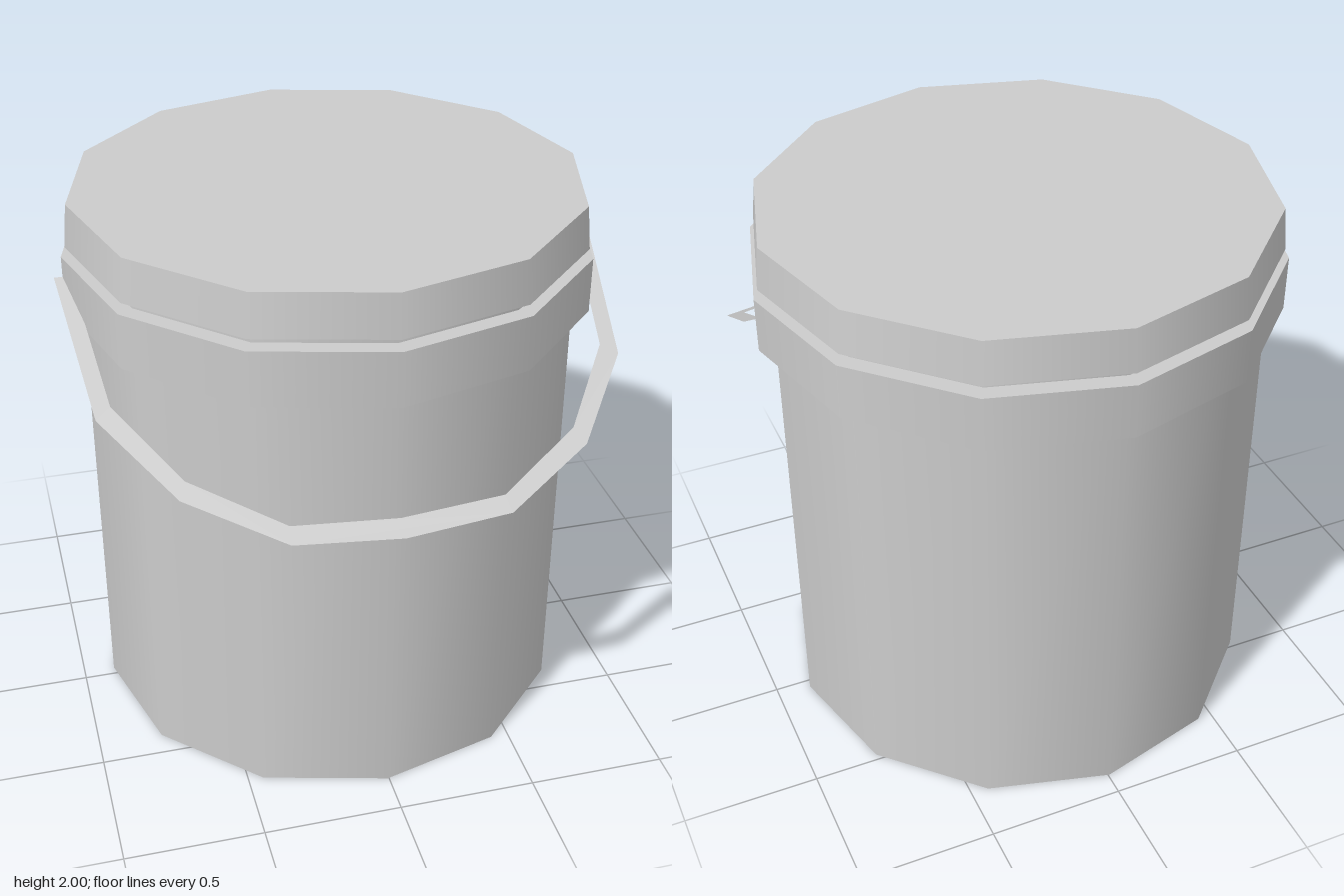
import * as THREE from 'three';

const SIDES = 12;

export function createModel() {
  const group = new THREE.Group();
  const material = new THREE.MeshStandardMaterial({ color: 0xcccccc });

  // Round parts of the pail share one axis, set slightly back from the handle
  const pail = new THREE.Group();
  pail.name = 'pail';
  pail.position.set(-0.005, 0, -0.035);
  group.add(pail);

  const addDrum = (name, rTop, rBottom, y0, y1) => {
    const mesh = new THREE.Mesh(new THREE.CylinderGeometry(rTop, rBottom, y1 - y0, SIDES), material);
    mesh.name = name;
    mesh.position.y = (y0 + y1) / 2;
    pail.add(mesh);
  };
  addDrum('body', 0.88, 0.88, 0, 1.86);
  addDrum('collar', 0.94, 0.94, 1.61, 1.81);
  addDrum('lid', 0.91, 0.925, 1.845, 2);

  // Flat bail handle: half outlines as (x, z), mirrored and laid on a sloping plane
  const pivotZ = -0.035, pivotY = 1.735, drop = 0.57;
  const stretch = Math.hypot(1, drop);
  const outer = [[0.975, -0.035], [0.92, 0.47], [0.70, 0.76], [0.375, 0.945], [0, 0.975]];
  const inner = [[0.918, -0.035], [0.865, 0.43], [0.672, 0.70], [0.367, 0.885], [0, 0.91]];
  const arc = (half) => [...half, ...half.slice(0, -1).reverse().map(([x, z]) => [-x, z])];
  const outline = [...arc(outer), ...arc(inner).reverse()]
    .map(([x, z]) => new THREE.Vector2(x, (z - pivotZ) * stretch));
  const handle = new THREE.Mesh(
    new THREE.ShapeGeometry(new THREE.Shape(outline)),
    new THREE.MeshStandardMaterial({ color: 0xcccccc, side: THREE.DoubleSide })
  );
  handle.name = 'handle';
  handle.position.set(0, pivotY, pivotZ);
  handle.rotation.x = Math.PI / 2 + Math.atan(drop);
  group.add(handle);

  return group;
}
